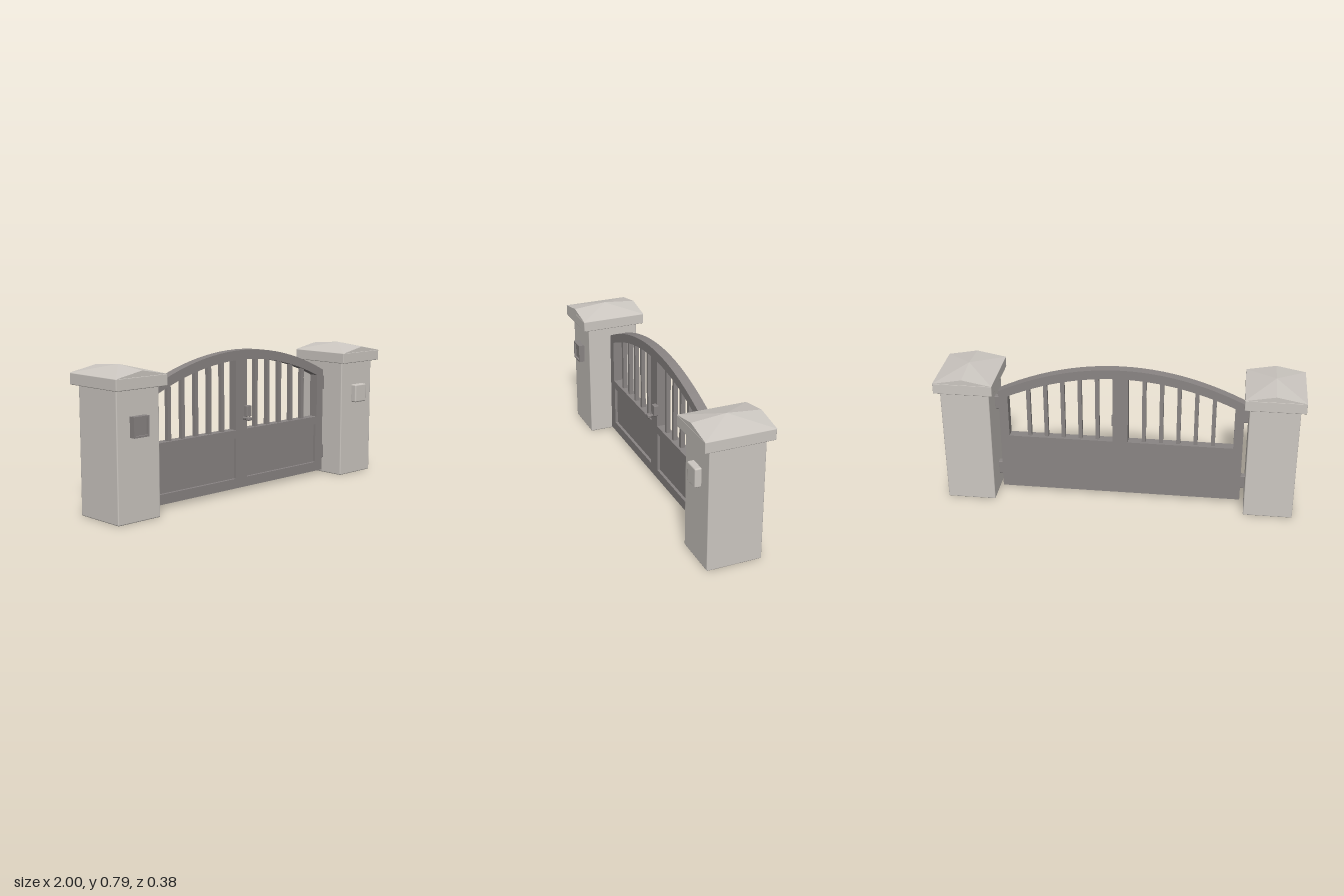
import * as THREE from 'three';
import { RoundedBoxGeometry } from 'three/addons/geometries/RoundedBoxGeometry.js';

const stone = new THREE.MeshStandardMaterial({ color: 0xcdc8c2 });
stone.name = 'pale stone';
const iron = new THREE.MeshStandardMaterial({ color: 0x8a8584 });
iron.name = 'grey painted metal';

function add(parent, name, geometry, material, x = 0, y = 0, z = 0) {
  const mesh = new THREE.Mesh(geometry, material);
  mesh.name = name;
  mesh.position.set(x, y, z);
  parent.add(mesh);
  return mesh;
}

// Box given by its lower and upper limits
function block(parent, name, material, [x0, x1], [y0, y1], [z0, z1], r = 0) {
  const size = [x1 - x0, y1 - y0, z1 - z0];
  const geo = r ? new RoundedBoxGeometry(...size, 2, r) : new THREE.BoxGeometry(...size);
  return add(parent, name, geo, material, (x0 + x1) / 2, (y0 + y1) / 2, (z0 + z1) / 2);
}

// Sloped cap roof: level side eaves, raised gable ends, slightly higher apex
function roofGeometry(w, d, gable, apex) {
  const rim = [[-w, 0, d], [0, 0, d], [w, 0, d], [w, 0, 0], [w, 0, -d], [0, 0, -d], [-w, 0, -d], [-w, 0, 0]];
  const top = rim.map(([x, y, z]) => [x, x === 0 ? gable : 0, z]);
  const tris = [];
  for (let i = 0; i < 8; i++) {
    const j = (i + 1) % 8;
    tris.push(top[i], top[j], [0, apex, 0]);
    if (rim[i][0] === 0) tris.push(rim[i], top[j], top[i]);
    if (rim[j][0] === 0) tris.push(rim[i], rim[j], top[j]);
  }
  const geo = new THREE.BufferGeometry();
  geo.setAttribute('position', new THREE.Float32BufferAttribute(tris.flat(), 3));
  geo.computeVertexNormals();
  return geo;
}

function makePillar(side) {
  const pillar = new THREE.Group();
  pillar.name = side > 0 ? 'leftPillar' : 'rightPillar';
  block(pillar, 'pillarShaft', stone, [-0.135, 0.135], [0, 0.685], [-0.152, 0.152], 0.006);
  block(pillar, 'capSlab', stone, [-0.162, 0.162], [0.675, 0.736], [-0.188, 0.188], 0.004);
  add(pillar, 'capRoof', roofGeometry(0.162, 0.188, 0.03, 0.047), stone, 0, 0.735, 0);
  pillar.position.x = side * 0.836;
  return pillar;
}

// Top edge of the gate, lowered by an offset for the openings
const archY = (x, drop = 0) => 0.793 - drop - 0.36 * x * x;

function archPoints(from, to, drop) {
  const pts = [];
  for (let i = 0; i <= 24; i++) {
    const x = from + (to - from) * i / 24;
    pts.push(new THREE.Vector2(x, archY(x, drop)));
  }
  return pts;
}

const rect = (x0, x1, y0, y1) => new THREE.Path([[x0, y0], [x1, y0], [x1, y1], [x0, y1]].map(p => new THREE.Vector2(...p)));

export function createModel() {
  const model = new THREE.Group();
  model.name = 'gateway';
  for (const side of [-1, 1]) model.add(makePillar(side));

  // Arched frame with two barred openings and two panel openings
  const gate = new THREE.Group();
  gate.name = 'gate';
  model.add(gate);
  const frame = new THREE.Shape([
    new THREE.Vector2(-0.678, 0.02), new THREE.Vector2(0.678, 0.02), ...archPoints(0.678, -0.678, 0),
  ]);
  for (const s of [-1, 1]) {
    frame.holes.push(new THREE.Path([
      new THREE.Vector2(s * 0.627, 0.35), new THREE.Vector2(s * 0.042, 0.35), ...archPoints(s * 0.042, s * 0.627, 0.053),
    ]));
    frame.holes.push(rect(...[s * 0.045, s * 0.617].sort((a, b) => a - b), 0.075, 0.305));
  }
  add(gate, 'gateFrame', new THREE.ExtrudeGeometry(frame, { depth: 0.054, bevelEnabled: false }), iron, 0, 0, -0.029);

  for (const s of [-1, 1]) {
    // Recessed lower panel, flush at the back
    block(gate, 'lowerPanel', iron, s > 0 ? [0.045, 0.617] : [-0.617, -0.045], [0.075, 0.305], [-0.029, 0.009]);
    // Upright bars
    for (let i = 0; i < 5; i++) {
      const x = s * (0.13 + i * 0.096);
      block(gate, 'uprightBar', iron, [x - 0.011, x + 0.011], [0.345, archY(x, 0.03)], [-0.013, 0.011]);
    }
    // Hinges between gate and pillar
    for (const y of [0.55, 0.13]) {
      block(gate, 'hingeArm', iron, s > 0 ? [0.67, 0.705] : [-0.705, -0.67], [y - 0.04, y + 0.04], [-0.02, 0.016], 0.005);
    }
  }

  // Latch plate with a drooping handle
  const latch = new THREE.Group();
  latch.name = 'latch';
  block(latch, 'latchPlate', iron, [0.02, 0.056], [0.42, 0.482], [0.02, 0.048], 0.004);
  const stem = add(latch, 'handleStem', new THREE.CylinderGeometry(0.009, 0.009, 0.05, 12), iron, 0.018, 0.412, 0.045);
  stem.rotation.x = Math.PI / 2;
  block(latch, 'handleGrip', iron, [0.002, 0.034], [0.402, 0.422], [0.052, 0.076], 0.006);
  gate.add(latch);

  // Entry box on one pillar: open rim with a recessed metal face
  const rim = new THREE.Shape(rect(-0.048, 0.048, -0.053, 0.053).getPoints());
  rim.holes.push(rect(-0.039, 0.039, -0.044, 0.044));
  const rimGeo = new THREE.ExtrudeGeometry(rim, { depth: 0.038, bevelEnabled: false });
  add(model, 'entryBoxRim', rimGeo, iron, -0.842, 0.487, 0.148);
  block(model, 'entryBoxFace', iron, [-0.881, -0.803], [0.443, 0.531], [0.148, 0.175]);

  // Plain stone box on the other pillar
  block(model, 'stoneBox', stone, [0.792, 0.888], [0.434, 0.54], [0.145, 0.186], 0.008);

  return model;
}
